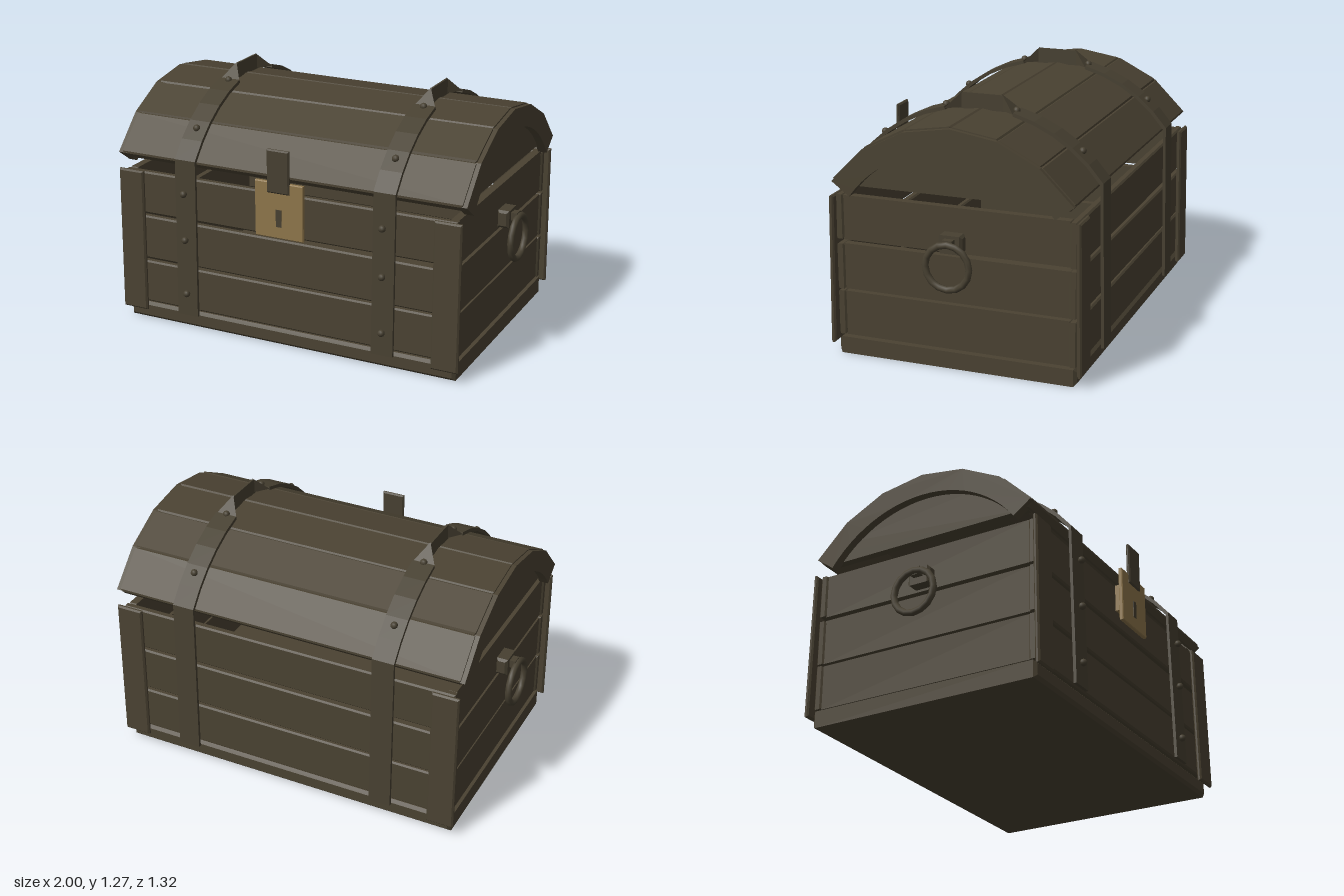
import * as THREE from 'three';
import { ConvexGeometry } from 'three/addons/geometries/ConvexGeometry.js';

const V3 = (x, y, z) => new THREE.Vector3(x, y, z);
const CZ = -0.01, CY = 0.445, R = 0.755; // lid arch centre and radius
const deg = Math.PI / 180;

// point on the lid arch, as [z, y]; angle from straight up towards the front
const onArch = (r, a) => [CZ + r * Math.sin(a * deg), CY + r * Math.cos(a * deg)];
function arc(r, a0, a1, n) {
  const pts = [];
  for (let i = 0; i <= n; i++) pts.push(onArch(r, a0 + (a1 - a0) * i / n));
  return pts;
}

// box with chamfered edges, centred on the origin
function plankGeo(w, h, d, b = 0.008) {
  const x = w / 2 - b, y = h / 2 - b;
  const s = new THREE.Shape([[-x, -y], [x, -y], [x, y], [-x, y]].map(p => new THREE.Vector2(...p)));
  const g = new THREE.ExtrudeGeometry(s, { depth: d - 2 * b, bevelSize: b, bevelThickness: b, bevelSegments: 1 });
  return g.translate(0, 0, -(d - 2 * b) / 2);
}

// outline of [z, y] points extruded along x from x0 to x1
function profileGeo(pts, x0, x1) {
  const s = new THREE.Shape(pts.map(p => new THREE.Vector2(...p)));
  const g = new THREE.ExtrudeGeometry(s, { depth: x1 - x0, bevelEnabled: false });
  return g.rotateY(-Math.PI / 2).translate(x1, 0, 0);
}

export function createModel() {
  const chest = new THREE.Group();
  chest.name = 'chest';
  const wood = new THREE.MeshStandardMaterial({ color: 0x4a4232 });
  wood.name = 'wood';
  const iron = new THREE.MeshStandardMaterial({ color: 0x474031 });
  iron.name = 'iron';
  const brass = new THREE.MeshStandardMaterial({ color: 0x8e764b });
  brass.name = 'brass';

  function add(name, geo, mat, x = 0, y = 0, z = 0, parent = chest) {
    const m = new THREE.Mesh(geo, mat);
    m.name = name;
    m.position.set(x, y, z);
    parent.add(m);
    return m;
  }

  // floor slab
  add('base', plankGeo(1.81, 0.085, 1.22, 0.015), wood, 0, 0.0425, CZ);

  // three rows of wall planks, each a little uneven
  [[0.095, 0.32, 0.002], [0.333, 0.563, -0.002], [0.583, 0.805, 0.004]].forEach(([y0, y1, tilt]) => {
    const h = y1 - y0, y = (y0 + y1) / 2;
    add('frontPlank', plankGeo(1.8, h, 0.04), wood, 0, y, 0.58).rotation.z = tilt;
    add('backPlank', plankGeo(1.8, h, 0.04), wood, 0, y, -0.6).rotation.z = -tilt;
    for (const s of [-1, 1]) add('sidePlank', plankGeo(0.04, h, 1.16), wood, s * 0.872, y, CZ);
  });

  // corner boards
  for (const sx of [-1, 1]) {
    const f = add('frontCornerBoard', plankGeo(0.14, 0.75, 0.025), wood, sx * 0.86, 0.432, 0.614);
    f.rotation.x = -0.015;
    const b = add('backCornerBoard', plankGeo(0.14, 0.75, 0.025), wood, sx * 0.86, 0.432, -0.637);
    b.rotation.x = 0.015;
  }

  // arched lid
  const lid = new THREE.Group();
  lid.name = 'lid';
  chest.add(lid);
  for (let a = -45; a <= 45; a += 18) {
    const [z, y] = onArch(R * Math.cos(9 * deg) - 0.025, a);
    const p = add('lidPlank', plankGeo(1.84, 0.05, 0.236), wood, 0, y, z, lid);
    p.rotation.x = a * deg;
    p.rotation.z = (a % 4) * 0.001;
  }
  const rim = [...arc(0.748, -54, 54, 6), ...arc(0.635, 54, -54, 24)];
  const panel = arc(0.7, -53.6, 53.6, 18);
  for (const s of [-1, 1]) {
    const span = (a, b) => s > 0 ? [a, b] : [-b, -a];
    add('lidRim', profileGeo(rim, ...span(0.895, 0.942)), wood, 0, 0, 0, lid);
    add('lidEndPanel', profileGeo(panel, ...span(0.86, 0.9)), wood, 0, 0, 0, lid);
  }

  // iron straps running up the walls and over the lid, pinched into a crest on top
  const frontStrap = [[0.638, 0.08], ...arc(0.78, 54, 12.5, 5), ...arc(0.762, 12.5, 54, 5), [0.622, 0.08]];
  const backStrap = [[-0.658, 0.08], ...arc(0.78, -54, -13.5, 5), ...arc(0.762, -13.5, -54, 5), [-0.642, 0.08]];
  const crest = [[0.16, 1.19], [0.085, 1.27], [-0.115, 1.27], [-0.19, 1.19]];
  const rivet = new THREE.SphereGeometry(0.018, 10, 8);
  for (const x of [-0.54, 0.54]) {
    add('frontStrap', profileGeo(frontStrap, x - 0.057, x + 0.057), iron);
    add('backStrap', profileGeo(backStrap, x - 0.057, x + 0.057), iron);
    add('strapCrest', profileGeo(crest, x - 0.005, x + 0.005), iron);
    for (const [z0, z1] of [[0.16, 0.085], [-0.19, -0.115]]) {
      const pts = [V3(-0.057, 1.195, z0), V3(0.057, 1.195, z0), V3(0, 1.275, z1), V3(0, 1.195, z1)];
      add('crestEnd', new ConvexGeometry(pts), iron, x);
    }
    for (const [z, y] of [[0.645, 0.2], [0.645, 0.49], [0.645, 0.735],
      [0.498, 1.037], [0.172, 1.203], [-0.19, 1.203], [-0.52, 1.037]]) add('rivet', rivet, iron, x, y, z);
  }

  // ring handles
  for (const s of [-1, 1]) {
    add('handleMount', plankGeo(0.06, 0.09, 0.12, 0.012), iron, s * 0.92, 0.64, CZ);
    add('handlePin', new THREE.BoxGeometry(0.04, 0.04, 0.05), iron, s * 0.96, 0.65, CZ);
    const ring = new THREE.TorusGeometry(0.11, 0.017, 8, 16).rotateY(Math.PI / 2);
    add('handleRing', ring, iron, s * 0.983, 0.54, CZ);
  }

  // lock plate, keyhole and hasp
  add('lockPlate', plankGeo(0.26, 0.285, 0.022, 0.004), brass, 0, 0.738, 0.645);
  add('lockBody', new THREE.BoxGeometry(0.22, 0.14, 0.03), brass, 0, 0.73, 0.62);
  add('keyhole', new THREE.BoxGeometry(0.03, 0.088, 0.006), iron, 0, 0.7, 0.656);
  add('hasp', plankGeo(0.12, 0.22, 0.02, 0.007), iron, 0, 0.937, 0.655);

  return chest;
}
